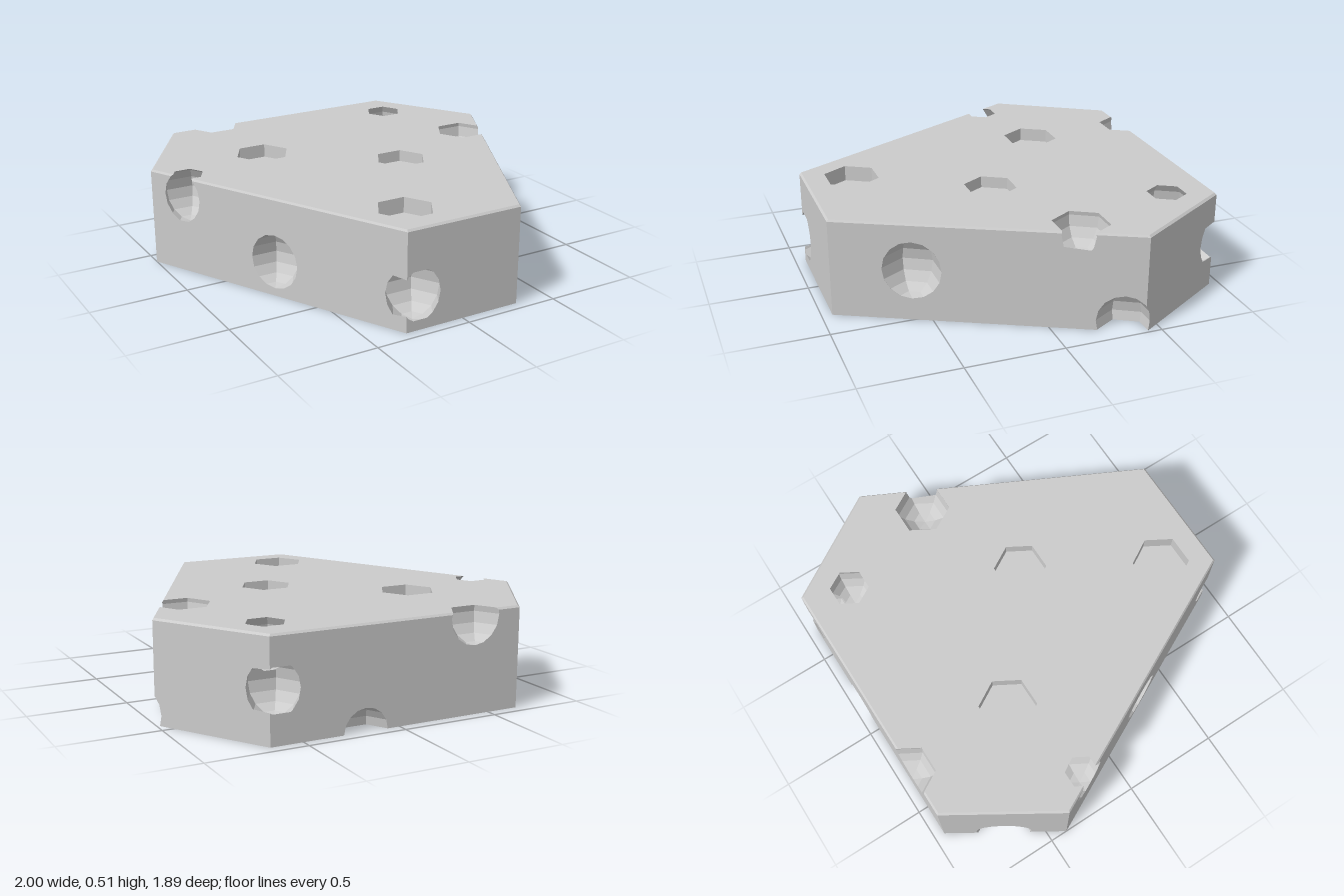
import * as THREE from 'three';

const EPS = 1e-5;
const HEIGHT = 0.51, BEVEL = 0.01;
const OUTLINE = [[-0.665, -0.947], [-1, -0.41], [-0.315, 0.947], [0.315, 0.947], [1, -0.41], [0.665, -0.947]];

// Round pockets: x, y, z, radius
const POCKETS = [
  [0.495, 0.265, 0.59, 0.15],
  [-0.65, 0.18, 0.28, 0.14],
  [-0.865, 0.4, -0.25, 0.14],
  [-0.24, 0.175, 0.88, 0.148],
  [0.755, 0.49, -0.17, 0.145],
  [0.96, 0.05, -0.32, 0.14],
  [0.61, 0.255, -0.87, 0.14],
  [0.575, 0.42, -0.715, 0.135],
  [-0.41, 0.48, -0.955, 0.14],
  [0.18, 0, -0.947, 0.115],
  [-0.83, 0.04, -0.685, 0.145],
];
// Flat-floored six-sided recesses in the top: x, z, radius, depth
const RECESSES = [
  [-0.39, -0.37, 0.145, 0.07],
  [0.195, 0.08, 0.135, 0.06],
  [-0.175, 0.705, 0.145, 0.08],
];

const planeOf = (poly) => new THREE.Plane().setFromCoplanarPoints(poly[0], poly[1], poly[2]);

// Cut a convex polygon by a plane into its outer and inner pieces
function split(poly, plane) {
  const outer = [], inner = [];
  const d = poly.map((p) => plane.distanceToPoint(p));
  poly.forEach((p, i) => {
    const j = (i + 1) % poly.length;
    if (d[i] >= -EPS) outer.push(p);
    if (d[i] <= EPS) inner.push(p);
    if ((d[i] > EPS && d[j] < -EPS) || (d[i] < -EPS && d[j] > EPS)) {
      const cut = p.clone().lerp(poly[j], d[i] / (d[i] - d[j]));
      outer.push(cut);
      inner.push(cut);
    }
  });
  return {
    outer: d.some((v) => v > EPS) && outer.length > 2 ? outer : null,
    inner: d.some((v) => v < -EPS) && inner.length > 2 ? inner : null,
  };
}

// Part of a polygon inside a convex solid
function clip(poly, solid) {
  for (const plane of solid.planes) {
    poly = split(poly, plane).inner;
    if (!poly) return [];
  }
  return [poly];
}

// Parts of a polygon outside a convex solid
function subtract(poly, solid) {
  const kept = [];
  let rest = poly;
  for (const plane of solid.planes) {
    const { outer, inner } = split(rest, plane);
    if (outer) kept.push(outer);
    if (!inner) return [poly];
    rest = inner;
  }
  return kept;
}

// Convex solid from a list of outward polygons
function makeSolid(polys) {
  const planes = [];
  for (const poly of polys) {
    const p = planeOf(poly);
    const known = planes.some((q) => q.normal.dot(p.normal) > 0.99999 && Math.abs(q.constant - p.constant) < 1e-4);
    if (!known) planes.push(p);
  }
  return { polys, planes };
}

function solidFromGeometry(geometry) {
  const pos = geometry.toNonIndexed().getAttribute('position');
  const polys = [];
  for (let i = 0; i < pos.count; i += 3) {
    const tri = [0, 1, 2].map((k) => new THREE.Vector3().fromBufferAttribute(pos, i + k));
    if (new THREE.Triangle(...tri).getArea() > 1e-7) polys.push(tri);
  }
  return makeSolid(polys);
}

// Six-sided block with a narrow bevel round its top
function makeBlock() {
  const ring = (y, s) => OUTLINE.map(([x, z]) => new THREE.Vector3(x * s, y, z * s));
  const rings = [ring(0, 1), ring(HEIGHT - BEVEL, 1), ring(HEIGHT, 1 - BEVEL)];
  const polys = [[...rings[0]].reverse(), rings[2]];
  for (let r = 0; r < 2; r++) {
    for (let i = 0; i < 6; i++) {
      const j = (i + 1) % 6;
      polys.push([rings[r][i], rings[r][j], rings[r + 1][j], rings[r + 1][i]]);
    }
  }
  return makeSolid(polys);
}

function meshFromPolys(name, polys, material) {
  const points = [];
  for (const p of polys) {
    for (let i = 1; i < p.length - 1; i++) points.push(p[0], p[i], p[i + 1]);
  }
  const geometry = new THREE.BufferGeometry().setFromPoints(points);
  geometry.computeVertexNormals();
  const mesh = new THREE.Mesh(geometry, material);
  mesh.name = name;
  return mesh;
}

export function createModel() {
  const group = new THREE.Group();
  group.name = 'holedBlock';
  const material = new THREE.MeshStandardMaterial({ color: 0xcccccc, flatShading: true });
  const block = makeBlock();

  const cutters = [
    ...POCKETS.map(([x, y, z, r]) => ({
      name: 'roundPocket',
      solid: solidFromGeometry(new THREE.SphereGeometry(r, 6, 8).translate(x, y, z)),
    })),
    ...RECESSES.map(([x, z, r, depth]) => ({
      name: 'topRecess',
      solid: solidFromGeometry(
        new THREE.CylinderGeometry(r, r, depth * 2, 6).rotateY(Math.PI / 6).translate(x, HEIGHT, z)),
    })),
  ];
  const carve = (polys, list) =>
    list.reduce((kept, c) => kept.flatMap((p) => subtract(p, c.solid)), polys);

  // Outer skin with the openings cut out
  group.add(meshFromPolys('blockSkin', carve(block.polys, cutters), material));

  // Walls of each hollow, facing inwards
  cutters.forEach((cutter) => {
    const inside = cutter.solid.polys.flatMap((p) => clip(p, block));
    const walls = carve(inside, cutters.filter((c) => c !== cutter));
    group.add(meshFromPolys(cutter.name, walls.map((p) => [...p].reverse()), material));
  });
  return group;
}
